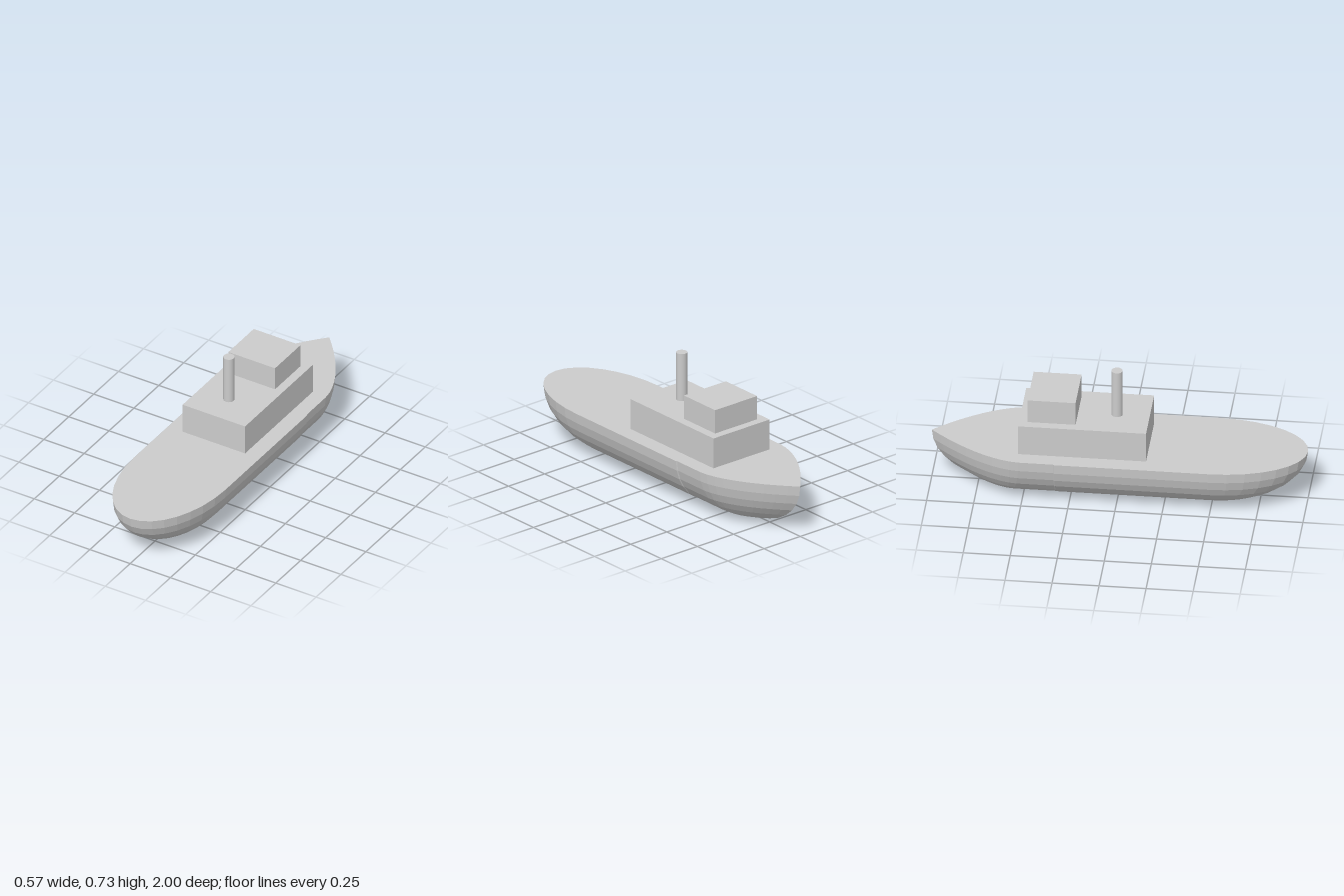
import * as THREE from 'three';

const DECK = 0.287, BEAM = 0.285, BOW_BEAM = 0.28, LEVELS = 8;
const material = new THREE.MeshStandardMaterial({ color: 0xcccccc, flatShading: true });
const smooth = new THREE.MeshStandardMaterial({ color: 0xcccccc });

// Waterline outline, shrunk by s towards the keel line; runs from round end, along +x, to the pointed end
function halfOutline(s) {
  const pts = [];
  for (let i = 0; i <= 8; i++) {
    const a = (i / 8) * Math.PI / 2;
    pts.push([BEAM * s * Math.sin(a), 0.5 + 0.5 * s * Math.cos(a)]);
  }
  pts.push([BEAM * s, -0.32], [BOW_BEAM * s, -0.325]);
  for (let i = 0; i <= 10; i++) {
    const t = i / 10;
    pts.push([BOW_BEAM * s * (1 - Math.pow(t, 1.65)), -0.6 + s * (0.09 - 0.49 * t)]);
  }
  return pts;
}

// Closed loop: +x half, then the mirrored half back
function outline(s) {
  const half = halfOutline(s);
  const other = half.slice(1, -1).reverse().map(([x, z]) => [-x, z]);
  return half.concat(other);
}

function hullGeometry() {
  const position = [], index = [];
  let n = 0;
  for (let k = 0; k <= LEVELS; k++) {
    const a = (k / LEVELS) * Math.PI / 2;
    const loop = outline(Math.cos(a));
    n = loop.length;
    for (const [x, z] of loop) position.push(x, DECK * (1 - Math.sin(a)), z);
  }
  for (let k = 0; k < LEVELS; k++) {
    for (let i = 0; i < n; i++) {
      const j = (i + 1) % n;
      const a = k * n + i, b = k * n + j, c = a + n, d = b + n;
      index.push(a, c, b);
      if (k < LEVELS - 1) index.push(b, c, d);
      else index.push(b, c, d);
    }
  }
  const g = new THREE.BufferGeometry();
  g.setAttribute('position', new THREE.Float32BufferAttribute(position, 3));
  g.setIndex(index);
  g.computeVertexNormals();
  return g;
}

export function createModel() {
  const ship = new THREE.Group();
  ship.name = 'ship';

  function add(name, geometry, x, y, z, mat = material) {
    const mesh = new THREE.Mesh(geometry, mat);
    mesh.name = name;
    mesh.position.set(x, y, z);
    ship.add(mesh);
    return mesh;
  }

  // Rounded hull and its flat deck
  add('hull', hullGeometry(), 0, 0, 0);
  const deckShape = new THREE.Shape(outline(1).map(([x, z]) => new THREE.Vector2(x, -z)));
  add('deck', new THREE.ShapeGeometry(deckShape).rotateX(-Math.PI / 2), 0, DECK, 0);

  // Superstructure
  add('cabin', new THREE.BoxGeometry(0.388, 0.172, 0.68), 0, 0.373, -0.18);
  add('bridge', new THREE.BoxGeometry(0.29, 0.134, 0.255), 0, 0.526, -0.3475);

  // Funnel
  add('funnel', new THREE.CylinderGeometry(0.03, 0.03, 0.271, 24), -0.014, 0.5945, 0.016 - 0.03, smooth);

  return ship;
}
